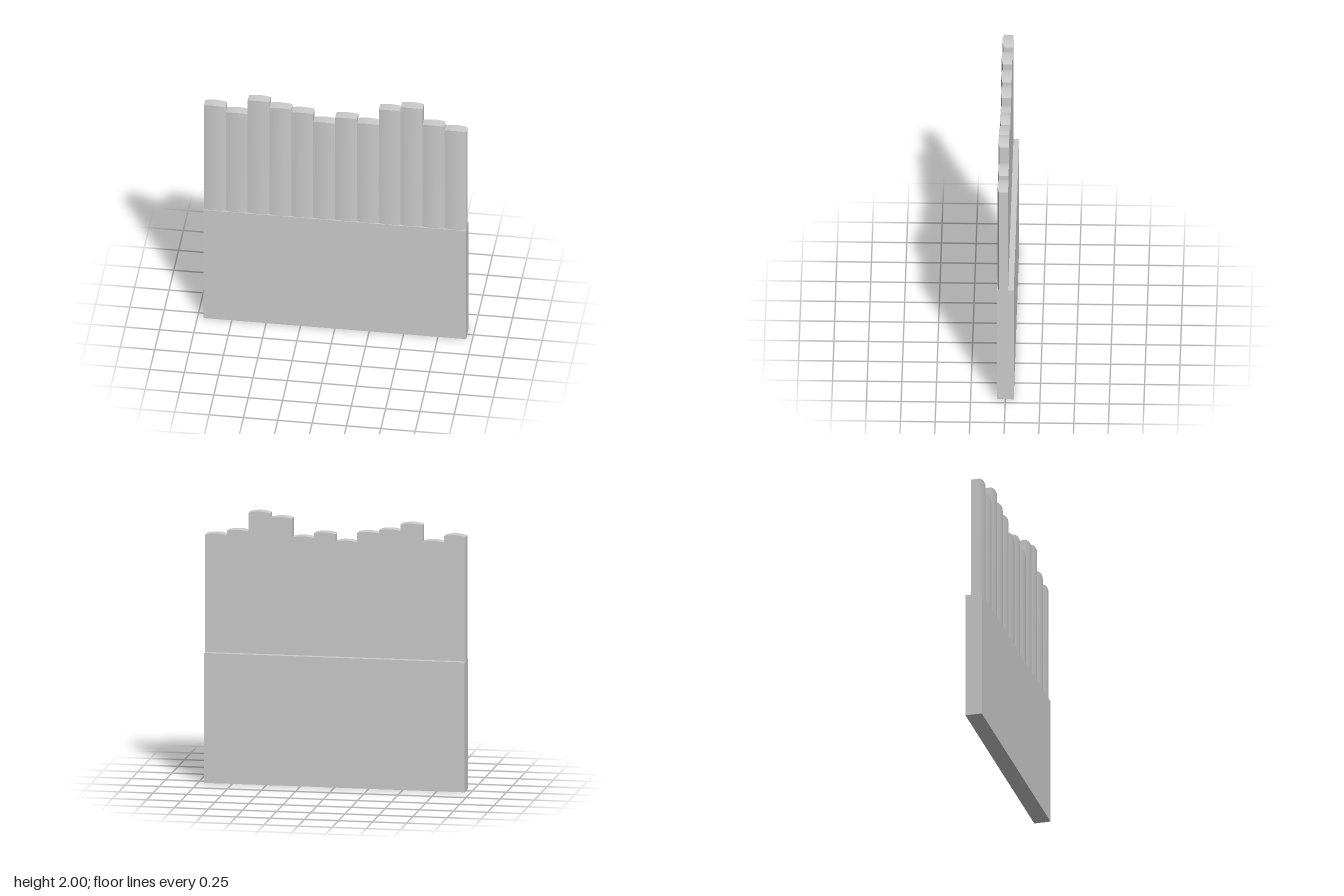
import * as THREE from 'three';

const material = new THREE.MeshStandardMaterial({ color: 0xcccccc });
const HALF_WIDTH = 0.955, BASE_TOP = 0.955;
const BACK = -0.02, FRONT = 0.057, CROWN = 0.01;

// Upright board with a bowed front face and an arched top edge
function makeBoard(width, bottom, top) {
  const height = top - bottom, depth = FRONT - BACK;
  const geo = new THREE.BoxGeometry(width, height, depth, 8, 1, 1);
  geo.translate(0, bottom + height / 2, BACK + depth / 2);
  const p = geo.attributes.position;
  const midY = bottom + height / 2, midZ = BACK + depth / 2;
  for (let i = 0; i < p.count; i++) {
    const t = p.getX(i) / (width / 2);
    const drop = CROWN * t * t;
    if (p.getY(i) > midY) p.setY(i, p.getY(i) - drop);
    if (p.getZ(i) > midZ) p.setZ(i, p.getZ(i) - drop);
  }
  geo.computeVertexNormals();
  return new THREE.Mesh(geo, material);
}

export function createModel() {
  const model = new THREE.Group();
  model.name = 'plankPanel';

  // Thick plain lower slab
  const base = new THREE.Mesh(new THREE.BoxGeometry(HALF_WIDTH * 2, BASE_TOP, 0.122), material);
  base.position.y = BASE_TOP / 2;
  base.name = 'lowerSlab';
  model.add(base);

  // Row of boards of uneven height, from the model's right to its left
  const tops = [1.88, 1.832, 1.953, 1.905, 1.88, 1.81, 1.865, 1.83, 1.966, 2.0, 1.861, 1.828];
  const pitch = (HALF_WIDTH * 2) / tops.length;
  const boards = new THREE.Group();
  boards.name = 'upperBoards';
  tops.forEach((top, i) => {
    const board = makeBoard(pitch, BASE_TOP, top);
    board.position.x = -HALF_WIDTH + pitch * (i + 0.5);
    board.name = `board${i + 1}`;
    boards.add(board);
  });
  model.add(boards);

  return model;
}
